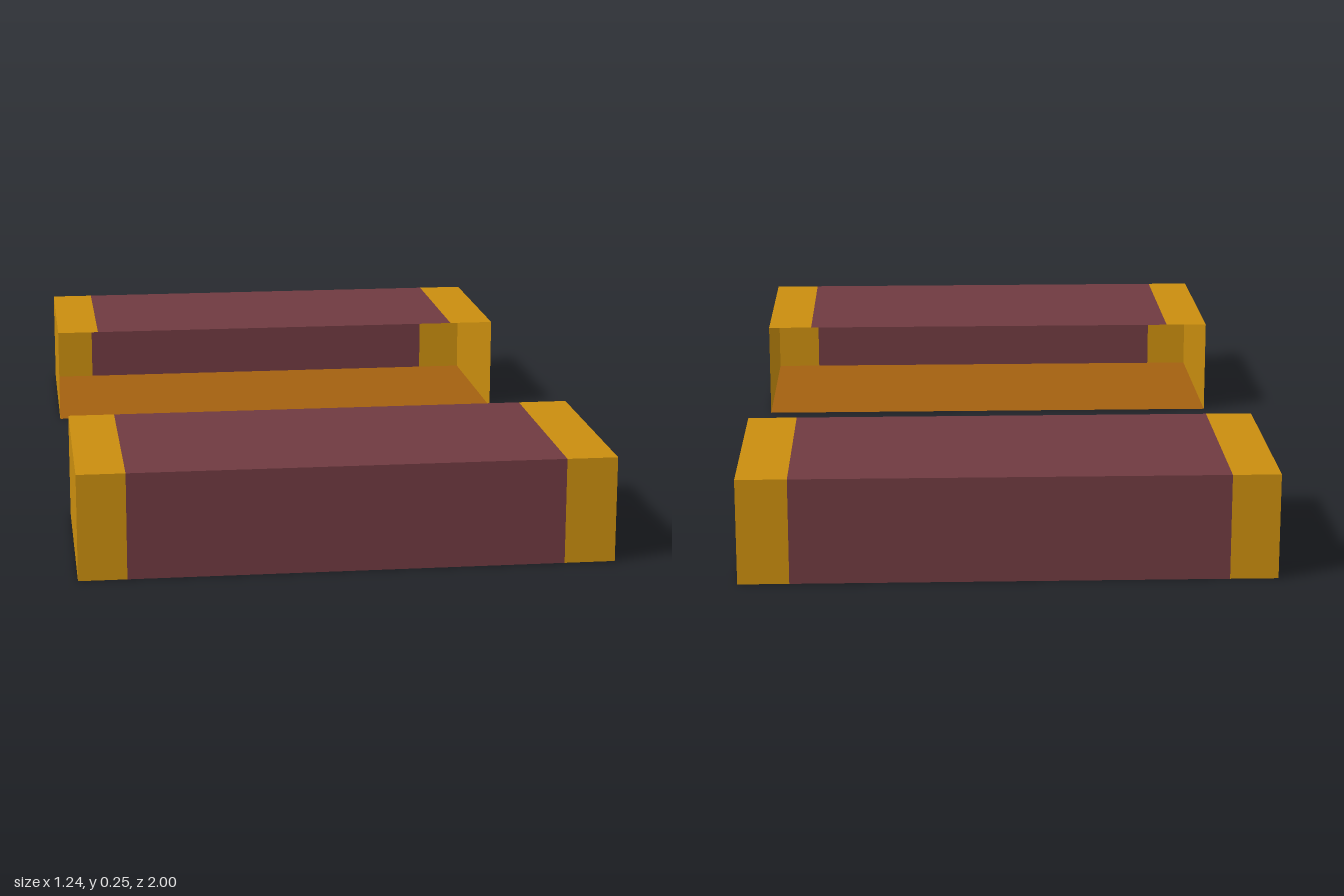
import * as THREE from 'three';

const HALF = 0.622, HEIGHT = 0.25;
const BAND = [-0.51, 0.503]; // extent of the maroon middle along x

function material(name, color) {
  const m = new THREE.MeshStandardMaterial({ color, side: THREE.DoubleSide });
  m.name = name;
  return m;
}

export function createModel() {
  const gold = material('gold', 0xc98d0e);
  const maroon = material('maroon', 0x6f3a40);
  const brown = material('brown', 0xa36010);

  // Flat sheet, turned by rx / ry and placed at its centre
  function sheet(name, mat, w, h, [x, y, z], rx = 0, ry = 0) {
    const mesh = new THREE.Mesh(new THREE.PlaneGeometry(w, h), mat);
    mesh.name = name;
    mesh.position.set(x, y, z);
    mesh.rotation.set(rx, ry, 0);
    return mesh;
  }

  // Thin-walled box, open on the side facing the middle of the model
  function openBox(name, side, inner) {
    const box = new THREE.Group();
    box.name = name;
    const depth = 1 - inner, zMid = side * (1 + inner) / 2;

    // Top and outer wall: maroon middle between gold ends
    const strips = [
      ['RightBand', gold, -HALF, BAND[0]],
      ['Middle', maroon, BAND[0], BAND[1]],
      ['LeftBand', gold, BAND[1], HALF],
    ];
    for (const [part, mat, x0, x1] of strips) {
      const w = x1 - x0, x = (x0 + x1) / 2;
      box.add(sheet('top' + part, mat, w, depth, [x, HEIGHT, zMid], -Math.PI / 2));
      box.add(sheet('wall' + part, mat, w, HEIGHT, [x, HEIGHT / 2, side], 0, side > 0 ? 0 : Math.PI));
    }

    // End walls and floor
    for (const s of [-1, 1]) {
      box.add(sheet(s > 0 ? 'leftEnd' : 'rightEnd', gold, depth, HEIGHT,
        [s * HALF, HEIGHT / 2, zMid], 0, s * Math.PI / 2));
    }
    box.add(sheet('floor', brown, 2 * HALF, depth, [0, 0, zMid], Math.PI / 2));
    return box;
  }

  const model = new THREE.Group();
  model.name = 'openBoxPair';
  model.add(openBox('frontBox', 1, 0.463), openBox('backBox', -1, 0.482));
  return model;
}
